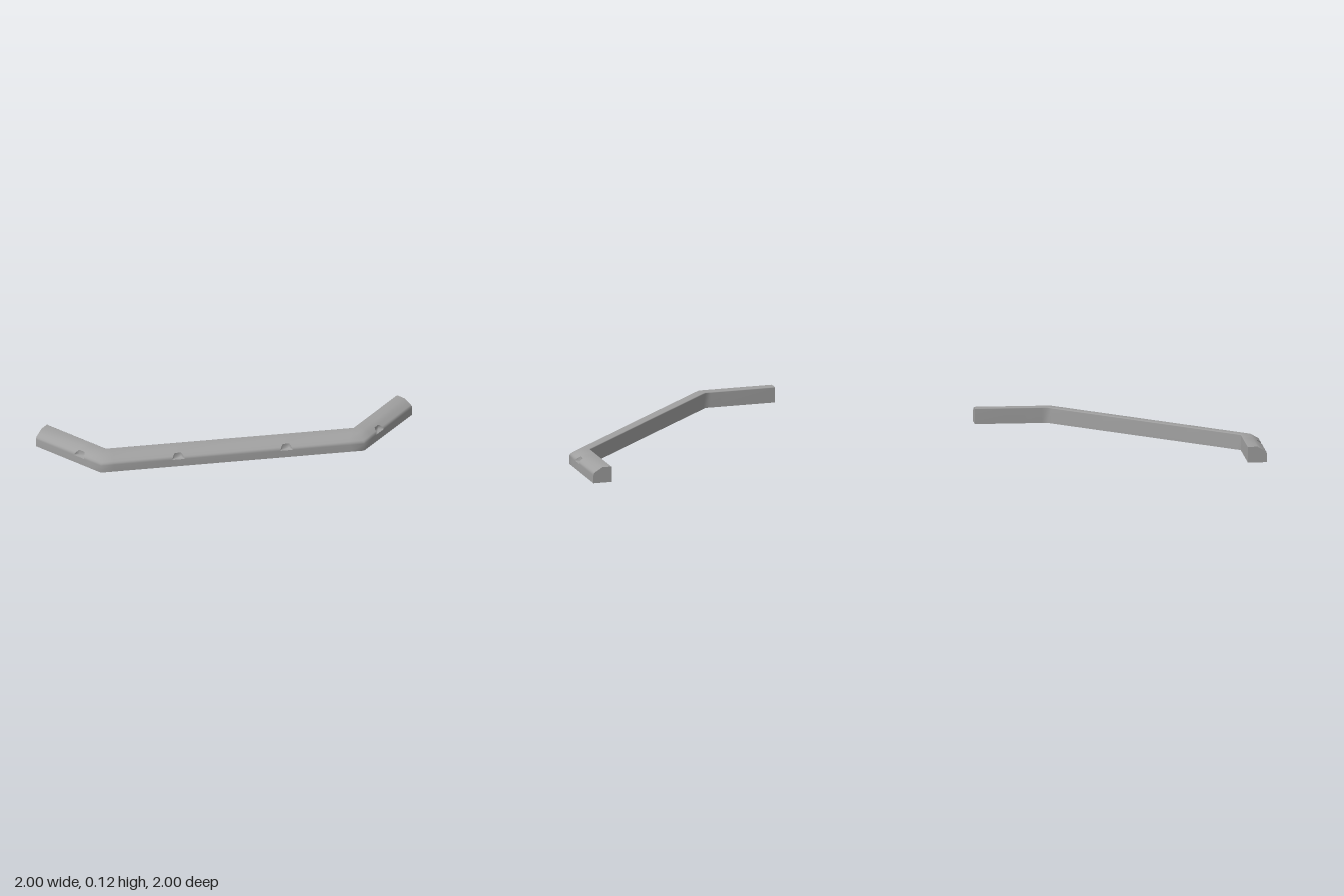
import * as THREE from 'three';
import { mergeVertices } from 'three/addons/utils/BufferGeometryUtils.js';

const V = (x, z) => new THREE.Vector2(x, z);
const material = new THREE.MeshStandardMaterial({ color: 0xa0a0a0, side: THREE.DoubleSide });

// Cross-section: [depth inward from the outer face, height], outer foot to inner foot
const profile = [
  [0, 0], [0, 0.06], [0.003, 0.074], [0.012, 0.083], [0.035, 0.097], [0.07, 0.118],
  [0.137, 0.118], [0.141, 0.116], [0.143, 0.112], [0.143, 0],
];
const FLOOR = 1, BACK = 4;          // profile rows bounding the notches

// Outer corners of the path (x, z) and notch centres as distances along each segment
const corners = [V(-1, -1), V(-1, -0.4), V(0.4, 1), V(1, 1)];
const notches = [[0.4], [0.584, 1.396], [0.2]];
const halfWidth = (d) => 0.045 - 0.6 * Math.min(d, 0.035);

// Stations along the path; at(d) gives the plan position at depth d
function makeStations() {
  const stations = [];
  const dirs = [0, 1, 2].map((i) => corners[i + 1].clone().sub(corners[i]).normalize());
  const normals = dirs.map((t) => V(t.y, -t.x));
  for (let i = 0; i < 4; i++) {
    const a = normals[Math.max(i - 1, 0)], b = normals[Math.min(i, 2)];
    const miter = a.clone().add(b).divideScalar(1 + a.dot(b));
    stations.push({ at: (d) => corners[i].clone().addScaledVector(miter, d) });
    if (i === 3) break;
    const length = corners[i].distanceTo(corners[i + 1]);
    const add = (distance, notch) => stations.push({
      notch,
      at: (d) => corners[i].clone().addScaledVector(dirs[i], distance(d)).addScaledVector(normals[i], d),
    });
    // extra stations beside the bends keep the smooth shading local
    if (i > 0) add(() => 0.1);
    for (const c of notches[i]) {
      add((d) => c - halfWidth(d), true);
      add((d) => c + halfWidth(d));
    }
    if (i < 2) add(() => length - 0.1);
  }
  return stations;
}

const point = (station, [d, y]) => {
  const p = station.at(d);
  return new THREE.Vector3(p.x, y, p.y);
};

// Mesh from a list of triangle corners, smooth where corners are shared
function mesh(name, tris) {
  const geometry = mergeVertices(new THREE.BufferGeometry().setFromPoints(tris), 1e-5);
  geometry.computeVertexNormals();
  const m = new THREE.Mesh(geometry, material);
  m.name = name;
  return m;
}

const quad = (tris, a, b, c, d) => tris.push(a, b, c, a, c, d);

// Smooth shell swept along the stations, open underneath and at the notches
function outerShell(stations) {
  const points = stations.map((s) => profile.map((r) => point(s, r)));
  const tris = [];
  for (let s = 0; s < stations.length - 1; s++) {
    for (let r = 0; r < profile.length - 1; r++) {
      if (stations[s].notch && r >= FLOOR && r < BACK) continue;
      quad(tris, points[s][r], points[s + 1][r], points[s + 1][r + 1], points[s][r + 1]);
    }
  }
  return mesh('outerShell', tris);
}

// Softly shaded pocket with a level floor, upright back and splayed sides
function notchPocket(s0, s1) {
  const corner = [profile[BACK][0], profile[FLOOR][1]];
  const [c0, c1] = [s0, s1].map((s) => point(s, corner));
  const p0 = profile.map((r) => point(s0, r)), p1 = profile.map((r) => point(s1, r));
  const tris = [];
  quad(tris, p0[FLOOR], p1[FLOOR], c1, c0);
  quad(tris, c0, c1, p1[BACK], p0[BACK]);
  for (let r = FLOOR; r < BACK; r++) tris.push(c0, p0[r + 1], p0[r], c1, p1[r], p1[r + 1]);
  return mesh('notchPocket', tris);
}

// Flat closure of one end
function endCap(name, station, flip) {
  const p = profile.map((r) => point(station, r));
  const tris = [];
  for (let i = 1; i < p.length - 1; i++) {
    tris.push(p[0], ...(flip ? [p[i + 1], p[i]] : [p[i], p[i + 1]]));
  }
  return mesh(name, tris);
}

export function createModel() {
  const group = new THREE.Group();
  group.name = 'angledEdging';
  const stations = makeStations();
  group.add(outerShell(stations));
  stations.forEach((s, i) => {
    if (s.notch) group.add(notchPocket(s, stations[i + 1]));
  });
  group.add(endCap('backEndCap', stations[0], false));
  group.add(endCap('leftEndCap', stations[stations.length - 1], true));
  return group;
}
